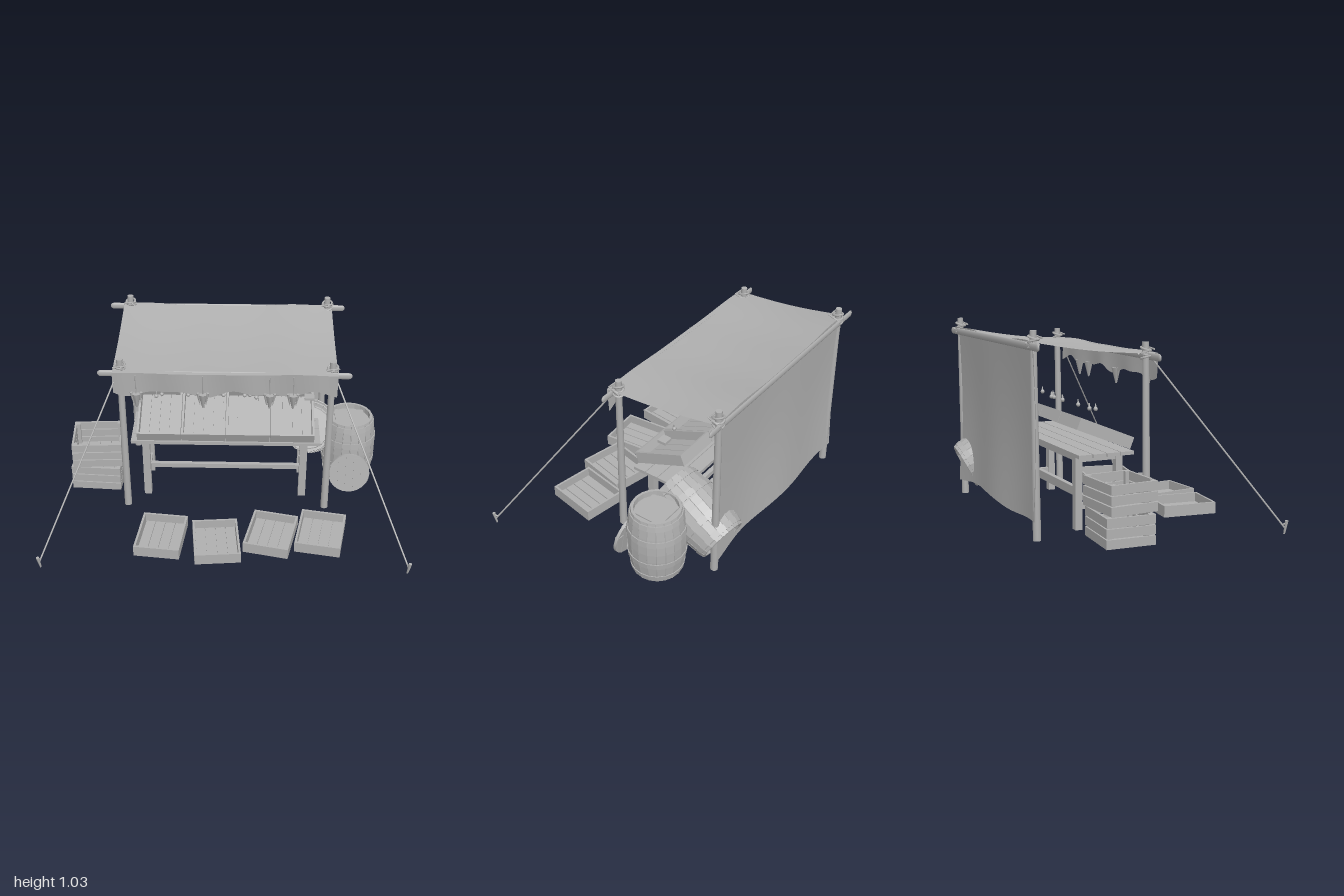
import * as THREE from 'three';

const grey = new THREE.MeshStandardMaterial({ color: 0xb0b0b0 });
grey.name = 'plain grey';
const greyFlat = grey.clone();
greyFlat.flatShading = true;
greyFlat.name = 'plain grey faceted';
const greyCloth = grey.clone();
greyCloth.side = THREE.DoubleSide;
greyCloth.name = 'plain grey cloth';

const V = (x, y, z) => new THREE.Vector3(x, y, z);
const UP = V(0, 1, 0);

function add(parent, geometry, name, pos = [0, 0, 0], material = grey) {
  const mesh = new THREE.Mesh(geometry, material);
  mesh.name = name;
  mesh.position.set(...pos);
  parent.add(mesh);
  return mesh;
}

function group(parent, name, pos = [0, 0, 0]) {
  const g = new THREE.Group();
  g.name = name;
  g.position.set(...pos);
  parent.add(g);
  return g;
}

const box = (parent, name, size, pos) => add(parent, new THREE.BoxGeometry(...size), name, pos);

// round rod between two points
function rod(parent, name, a, b, r0, r1 = r0, sides = 8) {
  const dir = b.clone().sub(a);
  const mesh = add(parent, new THREE.CylinderGeometry(r1, r0, dir.length(), sides), name);
  mesh.position.copy(a).add(b).multiplyScalar(0.5);
  mesh.quaternion.setFromUnitVectors(UP, dir.normalize());
  return mesh;
}

// cloth sheet from a rule (u, v) -> point
function cloth(parent, name, rule, nu = 32, nv = 14) {
  const geo = new THREE.PlaneGeometry(1, 1, nu, nv);
  const p = geo.attributes.position;
  for (let i = 0; i < p.count; i++) {
    const q = rule(p.getX(i) + 0.5, 0.5 - p.getY(i));
    p.setXYZ(i, q[0], q[1], q[2]);
  }
  geo.computeVertexNormals();
  return add(parent, geo, name, [0, 0, 0], greyCloth);
}

// open wooden crate standing on its own base; rows = boards per wall
function crate(parent, name, w, h, d, rows) {
  const g = group(parent, name);
  const t = 0.012, gap = rows > 1 ? 0.006 : 0, n = 4;
  const bh = (h - gap * (rows - 1)) / rows;
  for (let i = 0; i < n; i++) {
    const sw = (w - 2 * t) / n;
    box(g, 'floorSlat', [sw - 0.005, 0.01, d - 2 * t], [-w / 2 + t + sw * (i + 0.5), 0.008, 0]);
  }
  box(g, 'floor', [w - 2 * t, 0.004, d - 2 * t], [0, 0.002, 0]);
  for (const s of [-1, 1]) {
    for (let r = 0; r < rows; r++) {
      const y = bh / 2 + r * (bh + gap);
      box(g, 'endBoard', [w, bh, t], [0, y, s * (d - t) / 2]);
      box(g, 'sideBoard', [t, bh, d - 2 * t], [s * (w - t) / 2, y, 0]);
    }
    if (rows > 1) for (const k of [-1, 1])
      box(g, 'cornerPost', [0.02, h, 0.02], [s * (w / 2 - t - 0.01), h / 2, k * (d / 2 - t - 0.01)]);
  }
  return g;
}

// staved barrel centred on its own middle
function barrel(parent, name) {
  const g = group(parent, name);
  const rAt = y => 0.155 - 0.024 * (y / 0.2) ** 2;
  const pts = [[0, -0.175], [0.115, -0.175], [0.117, -0.2]];
  for (let i = 0; i <= 8; i++) {
    const y = -0.2 + i * 0.05;
    pts.push([rAt(y), y]);
  }
  pts.push([0.117, 0.2], [0.115, 0.17], [0, 0.17]);
  add(g, new THREE.LatheGeometry(pts.map(p => new THREE.Vector2(...p)), 20), 'staves', [0, 0, 0], greyFlat);
  // seams between staves
  for (let i = 0; i < 20; i++) {
    const a = (i / 20) * Math.PI * 2;
    const path = [-0.198, -0.1, 0, 0.1, 0.198].map(y => V(Math.sin(a) * rAt(y), y, Math.cos(a) * rAt(y)));
    add(g, new THREE.TubeGeometry(new THREE.CatmullRomCurve3(path), 8, 0.0025, 4), 'staveSeam');
  }
  for (const y of [-0.17, -0.075, 0.075, 0.17]) {
    const lo = rAt(y - 0.014) + 0.005, hi = rAt(y + 0.014) + 0.005;
    const ring = [[lo - 0.008, y - 0.014], [lo, y - 0.014], [hi, y + 0.014], [hi - 0.008, y + 0.014]];
    add(g, new THREE.LatheGeometry(ring.map(p => new THREE.Vector2(...p)), 20), 'hoop', [0, 0, 0], greyFlat);
  }
  return g;
}

// rope lashing around a post
function lashing(parent, x, y, z) {
  const g = group(parent, 'lashing', [x, y, z]);
  for (let i = 0; i < 4; i++) {
    const t = add(g, new THREE.TorusGeometry(0.027, 0.006, 6, 14), 'ropeTurn', [0, -0.022 + i * 0.014, 0]);
    t.rotation.set(Math.PI / 2 + (i % 2 ? 0.25 : -0.2), i % 2 ? 0.2 : -0.2, 0);
  }
  rod(g, 'ropeEnd', V(-0.035, 0.02, 0.03), V(0.035, 0.028, 0.026), 0.005, 0.004, 6);
  rod(g, 'ropeEnd', V(0.03, -0.01, -0.03), V(0.026, 0.015, 0.042), 0.005, 0.004, 6);
}

export function createModel() {
  const root = new THREE.Group();
  root.name = 'marketStall';

  // posts, lashings, guy ropes and stakes
  for (const s of [-1, 1]) {
    const x = s * 0.567;
    rod(root, 'frontPost', V(x, 0, 0.052), V(x, 0.955, 0.038), 0.021, 0.017, 10);
    rod(root, 'backPost', V(x, 0, -0.555), V(x, 1.03, -0.567), 0.021, 0.017, 10);
    lashing(root, x, 0.9, 0.04);
    lashing(root, x, 0.975, -0.565);
    rod(root, 'guyRope', V(s * 0.575, 0.89, 0.055), V(s * 0.982, 0.035, 0.612), 0.0045, 0.0045, 6);
    const stake = rod(root, 'stake', V(s * 0.978, 0, 0.615), V(s * 0.988, 0.07, 0.622), 0.005, 0.009, 6);
    rod(stake, 'stakeHook', V(0, 0.022, 0), V(-s * 0.008, 0.012, -0.014), 0.005, 0.004, 6);
  }

  // flat cross bars
  for (const [y, z] of [[0.882, 0.062], [0.955, -0.585]]) {
    const bar = add(root, new THREE.CapsuleGeometry(0.019, 1.32, 4, 10), 'crossBar', [-0.008, y, z]);
    bar.rotation.z = Math.PI / 2;
    bar.scale.z = 0.4;
  }

  // awning: roof, front valance and back curtain
  const wave = u => 0.006 * Math.sin(u * 9 + 0.5) + 0.003 * Math.sin(u * 17);
  const X = u => -0.605 + 1.2 * u;
  cloth(root, 'roofCloth', (u, v) => [X(u),
    0.972 - 0.074 * v - 0.016 * Math.sin(Math.PI * v) + wave(u) * (1 - 0.5 * v), -0.578 + 0.67 * v]);
  cloth(root, 'frontValance', (u, v) => [X(u),
    0.898 + wave(u) * 0.5 - v * (0.125 + 0.014 * Math.sin(u * 19) + 0.008 * Math.sin(u * 33)),
    0.092 - 0.008 * v + 0.006 * v * Math.sin(u * 22)], 48, 5);
  cloth(root, 'backCurtain', (u, v) => [-0.59 + 1.17 * u,
    0.972 + wave(u) - v * (0.877 + 0.012 * Math.sin(u * 8)),
    -0.578 + 0.012 * v * Math.sin(u * 10) + 0.012 * Math.sin(Math.PI * v)]);

  // hanging bundles under the valance
  for (const x of [-0.48, -0.123, 0.235, 0.36]) {
    const g = group(root, 'hangingBundle', [x, 0, 0.095]);
    rod(g, 'string', V(0, 0.77, 0), V(0, 0.89, 0.004), 0.003, 0.003, 5);
    rod(g, 'bundle', V(0, 0.695, 0), V(0, 0.78, 0), 0.005, 0.026, 7);
    for (const s of [-1, 1]) rod(g, 'tip', V(s * 0.016, 0.715, 0), V(s * 0.026, 0.785, 0), 0.002, 0.009, 5);
  }

  // table
  const table = group(root, 'table');
  for (let i = 0; i < 4; i++) box(table, 'topPlank', [1.07, 0.018, 0.074], [-0.005, 0.389, -0.045 - i * 0.078]);
  for (const x of [-0.46, 0.44]) {
    for (const z of [-0.063, -0.29]) box(table, 'leg', [0.042, 0.38, 0.038], [x, 0.19, z]);
    for (const y of [0.12, 0.365]) box(table, 'sideRail', [0.026, 0.03, 0.2], [x, y, -0.175]);
  }
  box(table, 'frontRail', [0.88, 0.025, 0.02], [-0.01, 0.367, -0.063]);
  box(table, 'backRail', [0.88, 0.025, 0.02], [-0.01, 0.367, -0.29]);
  box(table, 'stretcher', [0.88, 0.028, 0.025], [-0.01, 0.205, -0.29]);
  box(table, 'lowerStretcher', [0.88, 0.028, 0.025], [-0.01, 0.12, -0.175]);

  // tilted display crates
  for (let i = 0; i < 4; i++) {
    const c = crate(root, 'displayCrate', 0.247, 0.064, 0.322, 1);
    c.position.set(-0.38 + i * 0.25, 0.462, -0.162);
    c.rotation.x = 0.386;
  }

  // small goods above the display
  for (const x of [-0.4, -0.37, -0.22, -0.02, 0.1, 0.13, 0.165, 0.355]) {
    const g = group(root, 'smallGood', [x, 0.605, -0.165 + 0.02 * Math.sin(x * 40)]);
    add(g, new THREE.SphereGeometry(0.012, 8, 6), 'body');
    rod(g, 'stem', V(0, 0.005, 0), V(0.003, 0.028, 0), 0.006, 0.003, 6);
  }
  box(root, 'smallTray', [0.055, 0.016, 0.05], [0.465, 0.607, -0.165]);

  // low crates on the ground
  for (const [x, z, r] of [[-0.35, 0.38, -0.11], [-0.045, 0.42, 0.09], [0.255, 0.35, -0.22], [0.53, 0.335, -0.18]]) {
    const c = crate(root, 'groundCrate', 0.25, 0.062, 0.3, 1);
    c.position.set(x, 0.004, z);
    c.rotation.y = r;
  }

  // stacked deep crates
  [[0.01, -0.06], [0.17, 0.06]].forEach(([y, r]) => {
    const c = crate(root, 'stackedCrate', 0.285, 0.15, 0.255, 3);
    c.position.set(-0.757, y, -0.197);
    c.rotation.y = r;
  });

  // barrels and leaning lid
  const upright = barrel(root, 'uprightBarrel');
  upright.position.set(0.717, 0.208, -0.3);
  box(upright, 'topPanel', [0.17, 0.008, 0.17], [0, 0.176, 0]);
  const tipped = barrel(root, 'tippedBarrel');
  tipped.position.set(0.495, 0.262, -0.395);
  tipped.quaternion.setFromUnitVectors(UP, V(-0.1, 0.46, 0.88).normalize());
  const lid = group(root, 'leaningLid', [0.715, 0.122, -0.112]);
  lid.rotation.x = -0.17;
  const disc = add(lid, new THREE.CylinderGeometry(0.12, 0.12, 0.016, 24), 'lidDisc');
  disc.rotation.x = Math.PI / 2;
  for (let i = -2; i <= 2; i++) {
    const h = 2 * Math.sqrt(0.0138 - (Math.abs(i) * 0.045 + 0.018) ** 2);
    box(lid, 'lidBoard', [0.041, h, 0.022], [i * 0.045, 0, 0]);
  }
  return root;
}
